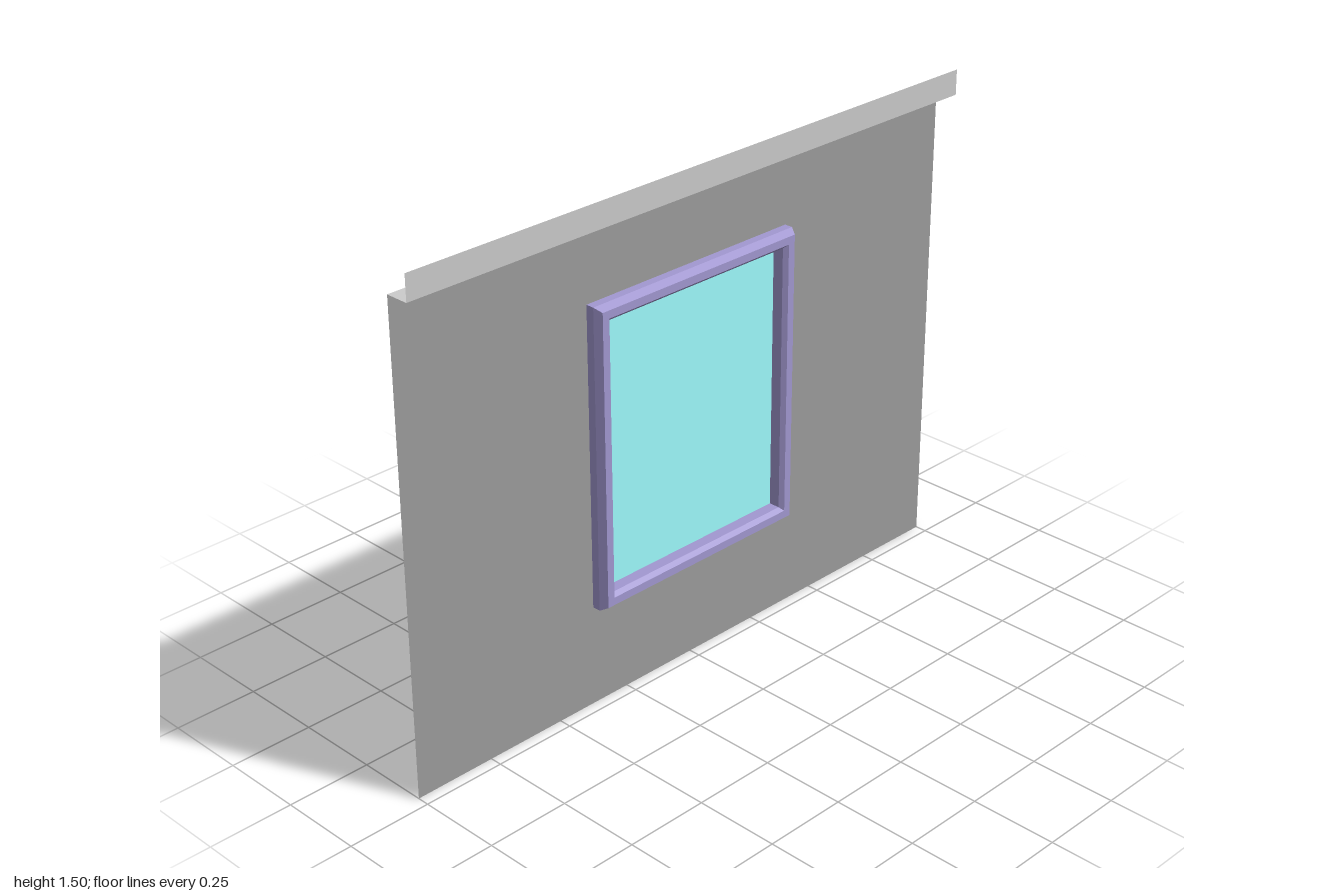
import * as THREE from 'three';

const BACK = -0.035, FRONT = 0.035;
const WIN = { w: 0.742, h: 0.895, y: 0.7525 }; // window opening

function material(color, extra = {}) {
  return new THREE.MeshStandardMaterial({ color, side: THREE.DoubleSide, ...extra });
}

function part(name, geometry, mat) {
  const mesh = new THREE.Mesh(geometry, mat);
  mesh.name = name;
  return mesh;
}

// Mitred rectangular frame: profile points are [inset from the opening, z]
function frameGeometry(w, h, profile) {
  const corners = [[-1, -1], [1, -1], [1, 1], [-1, 1]];
  const pos = [];
  for (let i = 0; i < profile.length - 1; i++) {
    for (let k = 0; k < 4; k++) {
      const at = ([inset, z], [sx, sy]) => [sx * (w / 2 - inset), sy * (h / 2 - inset), z];
      const c0 = corners[k], c1 = corners[(k + 1) % 4];
      const a = at(profile[i], c0), b = at(profile[i], c1);
      const c = at(profile[i + 1], c1), d = at(profile[i + 1], c0);
      pos.push(...a, ...b, ...c, ...a, ...c, ...d);
    }
  }
  const geo = new THREE.BufferGeometry();
  geo.setAttribute('position', new THREE.Float32BufferAttribute(pos, 3));
  geo.computeVertexNormals();
  return geo;
}

export function createModel() {
  const group = new THREE.Group();
  group.name = 'wallWithWindow';
  const trim = material(0xcccccc);

  // Thin wall sheet with the window opening cut out
  const shape = new THREE.Shape([[-1, 0], [1, 0], [1, 1.43], [-1, 1.43]].map(p => new THREE.Vector2(...p)));
  const x = WIN.w / 2, y0 = WIN.y - WIN.h / 2, y1 = WIN.y + WIN.h / 2;
  shape.holes.push(new THREE.Path([[-x, y0], [-x, y1], [x, y1], [x, y0]].map(p => new THREE.Vector2(...p))));
  const wall = part('wall', new THREE.ShapeGeometry(shape), material(0x9c9c9c));
  wall.position.z = BACK;

  // Folded top edge: a ledge reaching forward, then an upright lip
  const ledge = part('topLedge', new THREE.PlaneGeometry(2, FRONT - BACK).rotateX(-Math.PI / 2), trim);
  ledge.position.y = 1.43;
  const lip = part('topLip', new THREE.PlaneGeometry(2, 0.075), trim);
  lip.position.set(0, 1.4675, FRONT);

  // Hollow bevelled window frame, open at the back
  const profile = [[0, BACK], [0, -0.01], [0.012, 0.012], [0.035, 0.012], [0.046, 0], [0.046, BACK]];
  const frame = part('windowFrame', frameGeometry(WIN.w, WIN.h, profile), material(0xa298d1, { flatShading: true }));
  frame.position.y = WIN.y;

  // Glass pane at the back of the frame
  const glass = part('glassPane', new THREE.PlaneGeometry(WIN.w - 0.092, WIN.h - 0.092), material(0x9efbfd));
  glass.position.set(0, WIN.y, BACK + 0.001);

  group.add(wall, ledge, lip, frame, glass);
  return group;
}
